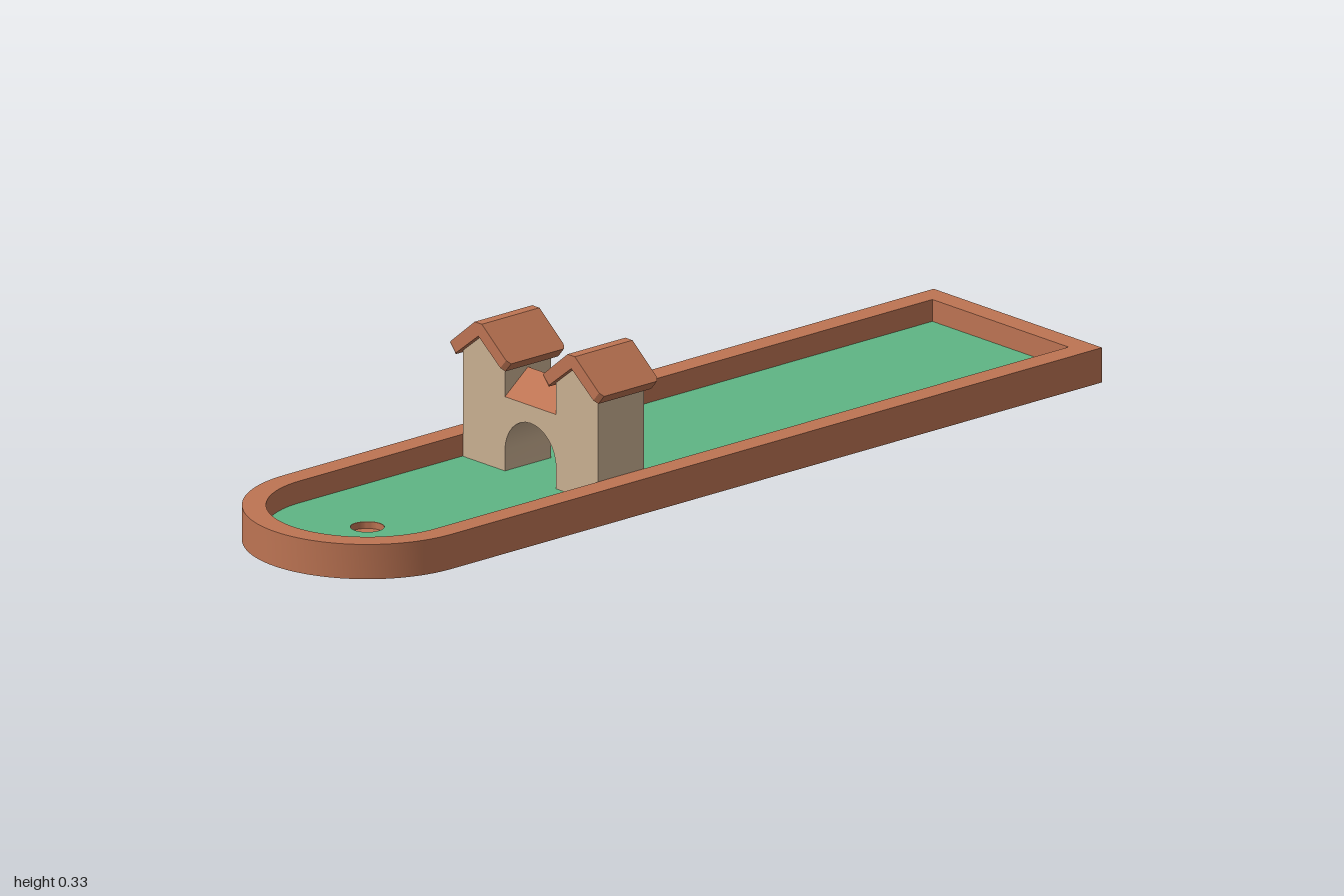
import * as THREE from 'three';
import { toCreasedNormals } from 'three/addons/utils/BufferGeometryUtils.js';

const material = (name, color) => new THREE.MeshStandardMaterial({ name, color });

// Lane outline: square at the back, half round at the front (shape y = -z)
function laneShape(halfWidth, backZ) {
  const s = new THREE.Shape();
  s.moveTo(halfWidth, -0.75);
  s.lineTo(halfWidth, -backZ);
  s.lineTo(-halfWidth, -backZ);
  s.lineTo(-halfWidth, -0.75);
  s.absarc(0, -0.75, halfWidth, Math.PI, Math.PI * 2, false);
  return s;
}

function circlePath(r) {
  const p = new THREE.Path();
  p.absarc(0, -0.75, r, 0, Math.PI * 2, true);
  return p;
}

// Horizontal slab between two heights
function slab(shape, y0, y1) {
  const g = new THREE.ExtrudeGeometry(shape, { depth: y1 - y0, bevelEnabled: false, curveSegments: 24 });
  g.rotateX(-Math.PI / 2).translate(0, y0, 0);
  return toCreasedNormals(g, 0.6);
}

// Folded roof made of four-cornered sections running from eave to eave
function towerRoofGeometry() {
  const half = [ // outer x, outer y, inner x, inner y, half depth
    [-0.0906, 0.261, -0.0735, 0.241, 0.071],
    [-0.0825, 0.2675, -0.0655, 0.2475, 0.0775],
    [-0.0107, 0.326, 0, 0.2985, 0.0775],
  ];
  const sections = [...half, ...half.map(([a, b, c, d, e]) => [-a, b, -c, d, e]).reverse()];
  const corners = sections.map(([ox, oy, ix, iy, d]) => [[ox, oy, d], [ox, oy, -d], [ix, iy, -d], [ix, iy, d]]);
  const pos = [];
  const quad = (a, b, c, d) => pos.push(...a, ...b, ...c, ...a, ...c, ...d);
  for (let i = 0; i < corners.length - 1; i++) {
    const p = corners[i], q = corners[i + 1];
    for (let k = 0; k < 4; k++) {
      const n = (k + 1) % 4;
      quad(p[k], q[k], q[n], p[n]);
    }
  }
  const [a, b] = [corners[0], corners[corners.length - 1]];
  quad(a[0], a[1], a[2], a[3]);
  quad(b[3], b[2], b[1], b[0]);
  const g = new THREE.BufferGeometry();
  g.setAttribute('position', new THREE.Float32BufferAttribute(pos, 3));
  g.computeVertexNormals();
  return g;
}

export function createModel() {
  const root = new THREE.Group();
  root.name = 'miniGolfLane';
  const brick = material('terracotta', 0xbd7453);
  const stone = material('sandstone', 0xcab092);
  const grass = material('grass', 0x5fb584);

  const add = (name, geometry, mat) => {
    const m = new THREE.Mesh(geometry, mat);
    m.name = name;
    root.add(m);
    return m;
  };

  const floorY = 0.027, cupY = 0.012, rimY = 0.073, cupR = 0.034;

  // Raised border
  const border = laneShape(0.25, -1);
  border.holes.push(laneShape(0.202, -0.953));
  add('border', slab(border, 0, rimY), brick);

  // Solid underside, which is also the bottom of the cup
  add('base', slab(laneShape(0.202, -0.953), 0, cupY), brick);

  // Bed with the cup cut through it
  const bed = laneShape(0.202, -0.953);
  bed.holes.push(circlePath(cupR));
  add('bed', slab(bed, cupY, floorY - 0.001), brick);

  // Playing surface
  const turf = new THREE.ShapeGeometry(bed, 24);
  turf.rotateX(-Math.PI / 2).translate(0, floorY, 0);
  add('turf', turf, grass);

  // Castle wall: two gabled towers joined over an arch
  const midZ = 0.249, depth = 0.124, towerX = 0.138, inner = 0.076, outer = 0.2;
  const wall = new THREE.Shape();
  wall.moveTo(inner, floorY);
  wall.lineTo(outer, floorY);
  wall.lineTo(outer, 0.25);
  wall.lineTo(towerX, 0.299);
  wall.lineTo(inner, 0.25);
  wall.lineTo(inner, 0.183);
  wall.lineTo(-inner, 0.183);
  wall.lineTo(-inner, 0.25);
  wall.lineTo(-towerX, 0.299);
  wall.lineTo(-outer, 0.25);
  wall.lineTo(-outer, floorY);
  wall.lineTo(-inner, floorY);
  wall.lineTo(-inner, 0.07);
  wall.absarc(0, 0.07, inner, Math.PI, 0, true);
  const wallGeo = new THREE.ExtrudeGeometry(wall, { depth, bevelEnabled: false, curveSegments: 8 });
  wallGeo.translate(0, 0, midZ - depth / 2);
  add('castleWall', toCreasedNormals(wallGeo, 0.6), stone);

  // Ridge roof over the arch
  const ridge = new THREE.Shape();
  ridge.moveTo(-depth / 2, 0.183);
  ridge.lineTo(depth / 2, 0.183);
  ridge.lineTo(0, 0.232);
  const ridgeGeo = new THREE.ExtrudeGeometry(ridge, { depth: inner * 2, bevelEnabled: false });
  ridgeGeo.translate(0, 0, -inner).rotateY(Math.PI / 2);
  add('archRoof', ridgeGeo, brick).position.z = midZ;

  // Tower roofs
  const roofGeo = towerRoofGeometry();
  for (const [name, side] of [['leftTowerRoof', 1], ['rightTowerRoof', -1]]) {
    add(name, roofGeo, brick).position.set(side * towerX, 0, midZ);
  }

  return root;
}
